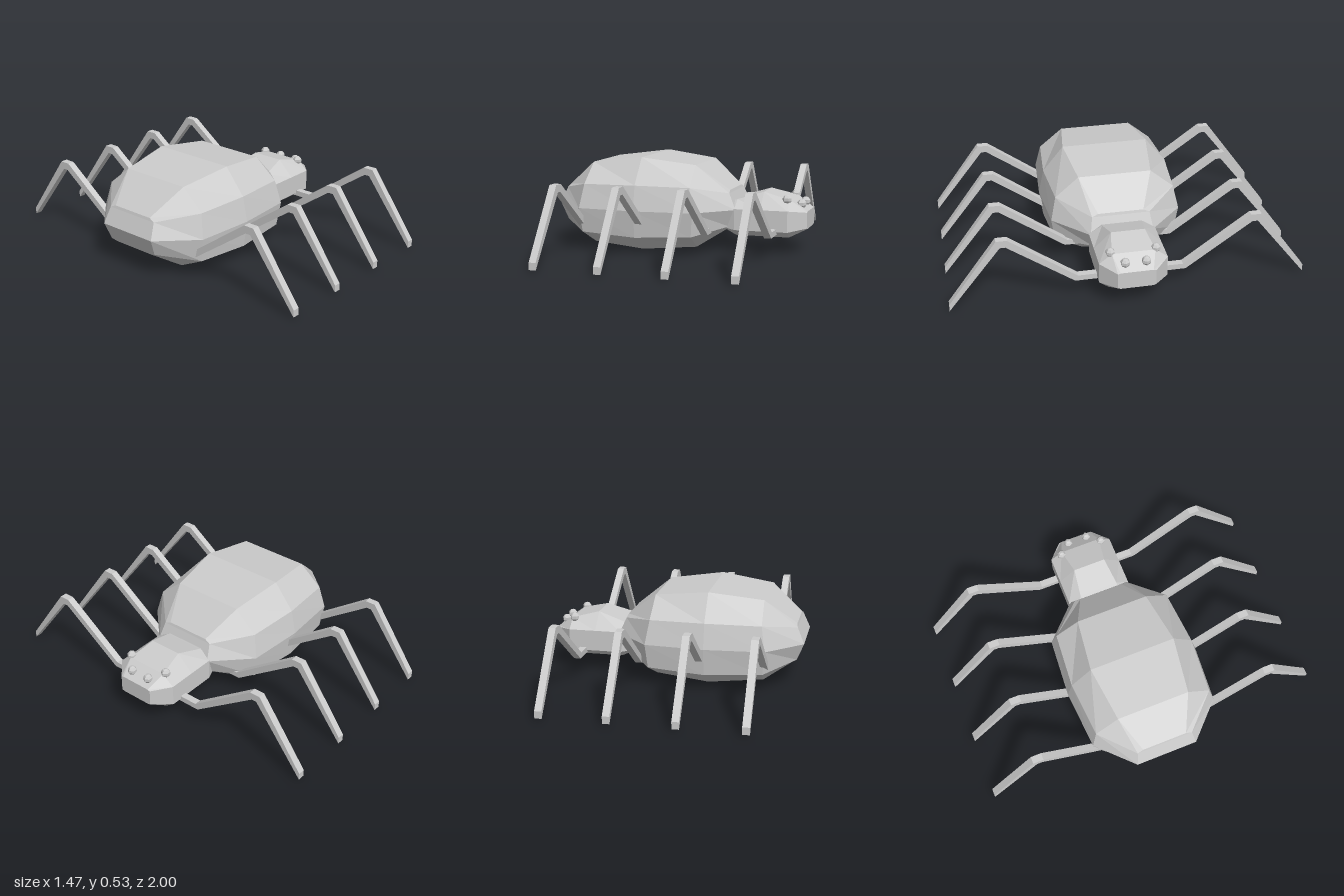
import * as THREE from 'three';

const material = new THREE.MeshStandardMaterial({ color: 0xcccccc, flatShading: true });

function addMesh(parent, name, geometry) {
  const mesh = new THREE.Mesh(geometry, material);
  mesh.name = name;
  parent.add(mesh);
  return mesh;
}

// Faceted loft along +x. Each station is a half section of [x, y, z] points,
// listed from top to bottom on the +z side and mirrored to -z.
function loft(stations) {
  const positions = [];
  const quad = (a, b, c, d) => positions.push(...a, ...b, ...c, ...a, ...c, ...d);
  const mirror = ([x, y, z]) => [x, y, -z];
  const rings = stations.map((half) => [...half, ...half.map(mirror).reverse()]);
  const n = rings[0].length;
  for (let i = 0; i < rings.length - 1; i++) {
    for (let k = 0; k < n; k++) {
      const next = (k + 1) % n;
      quad(rings[i][k], rings[i][next], rings[i + 1][next], rings[i + 1][k]);
    }
  }
  // End caps: strips between mirrored points
  const first = stations[0];
  const last = stations[stations.length - 1];
  for (let k = 0; k < first.length - 1; k++) {
    quad(last[k], last[k + 1], mirror(last[k + 1]), mirror(last[k]));
    quad(mirror(first[k]), mirror(first[k + 1]), first[k + 1], first[k]);
  }
  const geometry = new THREE.BufferGeometry();
  geometry.setAttribute('position', new THREE.Float32BufferAttribute(positions, 3));
  geometry.computeVertexNormals();
  return geometry;
}

// Abdomen: sections as [distance from middle, y, z], mirrored front to back
function abdomenGeometry() {
  const middle = [[0, 0.533, 0.25], [0, 0.385, 0.37], [0, 0.243, 0.4], [0, 0.09, 0.38], [0, 0, 0.23]];
  const shoulder = [[0.31, 0.494, 0.21], [0.315, 0.38, 0.345], [0.338, 0.243, 0.375], [0.325, 0.105, 0.355], [0.31, 0.022, 0.19]];
  const end = [[0.49, 0.35, 0.13], [0.495, 0.335, 0.165], [0.535, 0.243, 0.18], [0.495, 0.145, 0.165], [0.49, 0.135, 0.13]];
  const place = (section, side) => section.map(([d, y, z]) => [-0.2 + side * d, y, z]);
  return loft([place(end, -1), place(shoulder, -1), place(middle, 1), place(shoulder, 1), place(end, 1)]);
}

// Head: [x, top y, top z, side z, side top y, side bottom y, bottom y, bottom z]
function headGeometry() {
  const rows = [
    [0.27, 0.28, 0.11, 0.17, 0.25, 0.14, 0.12, 0.12],
    [0.33, 0.297, 0.115, 0.19, 0.25, 0.13, 0.095, 0.14],
    [0.48, 0.343, 0.095, 0.19, 0.25, 0.13, 0.095, 0.14],
    [0.635, 0.305, 0.12, 0.19, 0.25, 0.13, 0.095, 0.14],
    [0.73, 0.24, 0.09, 0.105, 0.235, 0.145, 0.14, 0.09],
  ];
  return loft(rows.map(([x, ty, tz, sz, sy, ly, by, bz]) => [[x, ty, tz], [x, sy, sz], [x, ly, sz], [x, by, bz]]));
}

// Bent leg: side outline in (z, y), extruded across x
function legGeometry() {
  const outline = [
    [0.17, 0.115], [0.31, 0.115], [0.68, 0.378], [0.71, 0.378], [1, 0.008],
    [1, 0.048], [0.73, 0.42], [0.67, 0.42], [0.295, 0.147], [0.17, 0.147],
  ];
  const shape = new THREE.Shape(outline.map(([z, y]) => new THREE.Vector2(z, y)));
  const geometry = new THREE.ExtrudeGeometry(shape, { depth: 0.04, bevelEnabled: false });
  return geometry.translate(0, 0, -0.02).rotateY(-Math.PI / 2);
}

export function createModel() {
  const model = new THREE.Group();
  model.name = 'spider';
  addMesh(model, 'abdomen', abdomenGeometry());
  addMesh(model, 'head', headGeometry());

  // Four pairs of legs
  const leg = legGeometry();
  [-0.533, -0.173, 0.19, 0.553].forEach((x, i) => {
    for (const side of [1, -1]) {
      const mesh = addMesh(model, `leg${i + 1}${side > 0 ? 'Near' : 'Far'}`, leg);
      mesh.position.x = x;
      if (side < 0) mesh.rotation.y = Math.PI;
    }
  });

  // Two pairs of eyes
  const eye = new THREE.SphereGeometry(0.027, 6, 5);
  for (const [x, y, z] of [[0.62, 0.308, 0.126], [0.69, 0.278, 0.058]]) {
    for (const side of [1, -1]) {
      addMesh(model, 'eye', eye).position.set(x, y, side * z);
    }
  }
  return model;
}
